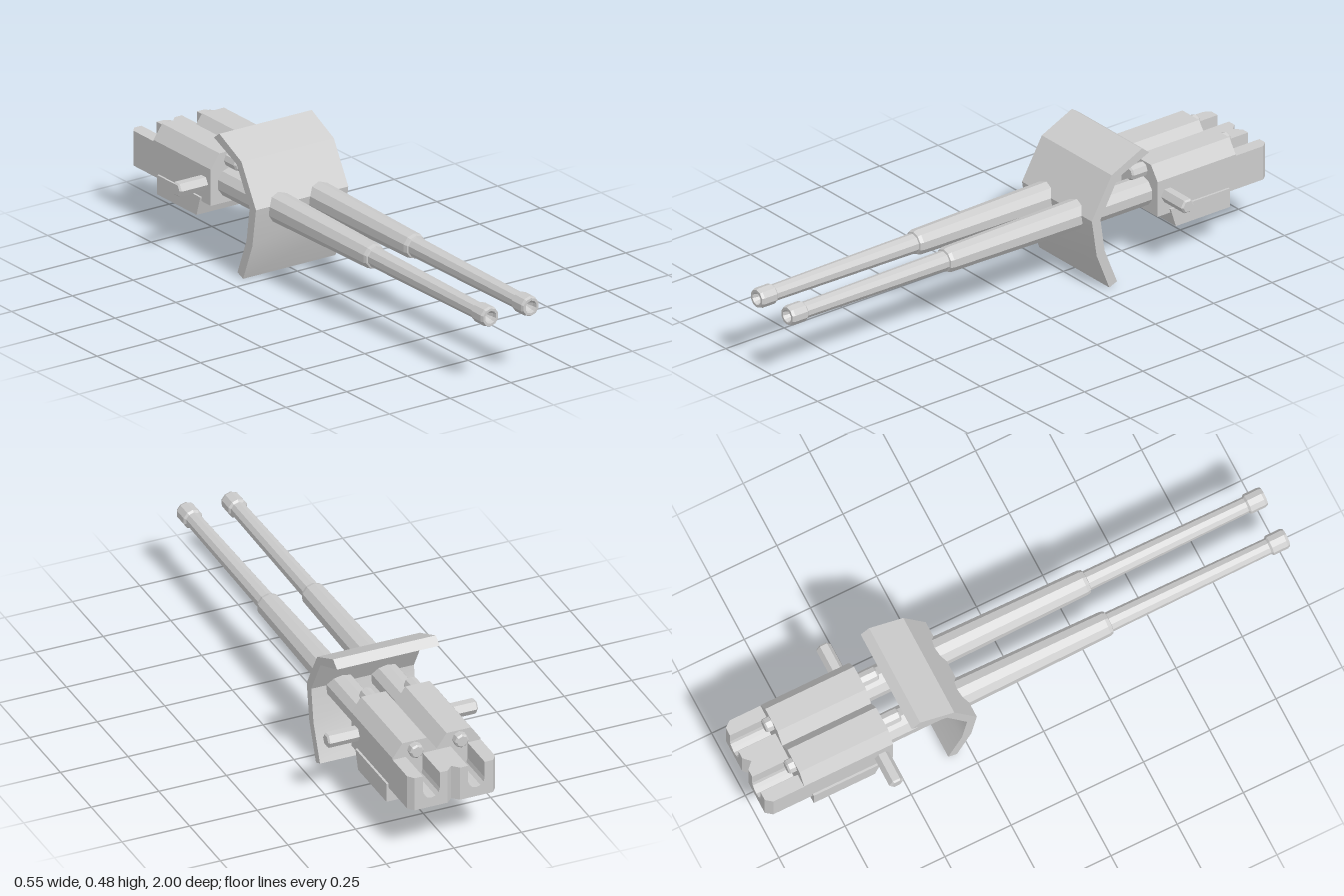
import * as THREE from 'three';
import { toCreasedNormals } from 'three/addons/utils/BufferGeometryUtils.js';

const flat = new THREE.MeshStandardMaterial({ color: 0xcccccc, flatShading: true });
const smooth = new THREE.MeshStandardMaterial({ color: 0xcccccc });

const toShape = (pts) => new THREE.Shape(pts.map(([a, b]) => new THREE.Vector2(a, b)));

// Extrudes an (x, y) outline from z0 to z1
function extrudeZ(pts, z0, z1, steps = 1) {
  const g = new THREE.ExtrudeGeometry(toShape(pts), { depth: z1 - z0, bevelEnabled: false, steps });
  return g.translate(0, 0, z0);
}

// Extrudes a (z, y) side profile across x, centred on x = 0
function extrudeX(pts, width) {
  const g = new THREE.ExtrudeGeometry(toShape(pts), { depth: width, bevelEnabled: false });
  return g.rotateY(-Math.PI / 2).translate(width / 2, 0, 0);
}

// Turned part along z from [radius, z] pairs
function turned(pts, sides) {
  const g = new THREE.LatheGeometry(pts.map(([r, z]) => new THREE.Vector2(r, z)), sides);
  return g.rotateX(Math.PI / 2);
}

export function createModel() {
  const group = new THREE.Group();
  const add = (name, geometry, material = flat) => {
    const mesh = new THREE.Mesh(geometry, material);
    mesh.name = name;
    group.add(mesh);
    return mesh;
  };

  // Curved shield, front edge downwards then back edge upwards
  const shield = extrudeX([
    [-0.436, 0.48], [-0.307, 0.42], [-0.222, 0.272], [-0.243, 0.135], [-0.297, 0],
    [-0.33, 0.013], [-0.277, 0.145], [-0.259, 0.268], [-0.334, 0.402], [-0.468, 0.457],
  ], 0.38);
  add('shield', toCreasedNormals(shield, 0.4), smooth);

  // Cradle under both receivers, with a slanted front
  add('cradle', extrudeX([
    [-0.575, 0.2], [-0.597, 0.13], [-0.828, 0.13], [-0.828, 0.2],
  ], 0.342));

  for (const s of [1, -1]) {
    const side = s > 0 ? 'left' : 'right';
    const cx = 0.083 * s;

    // Barrel: sleeve, tapered tube, muzzle collar and hollow bore
    const barrel = add(side + 'Barrel', turned([
      [0, -0.56], [0.0535, -0.56], [0.0535, -0.25], [0.045, 0.315], [0.041, 0.328], [0.035, 0.33],
      [0.029, 0.93], [0.036, 0.937], [0.036, 0.99], [0.032, 1], [0.023, 1], [0.02, 0.985], [0, 0.94],
    ], 10));
    barrel.position.set(cx, 0.255, 0);

    // Receiver with bevelled top edges
    add(side + 'Receiver', extrudeZ([
      [0, 0.184], [0.163, 0.184], [0.163, 0.315], [0.127, 0.366], [0.037, 0.366], [0, 0.315],
    ].map(([x, y]) => [x * s, y]), -0.86, -0.525));

    // Rear block with a round-bottomed loading slot
    const outline = [[0, 0.184], [0.163, 0.184], [0.163, 0.31], [0.114, 0.31]];
    for (let i = 0; i <= 6; i++) {
      const a = (i / 6) * Math.PI;
      outline.push([0.083 + 0.031 * Math.cos(a), 0.25 - 0.031 * Math.sin(a)]);
    }
    outline.push([0.052, 0.31], [0, 0.31]);
    const breech = extrudeZ(outline.map(([x, y]) => [x * s, y]), -1, -0.86, 2);
    const p = breech.attributes.position;
    for (let i = 0; i < p.count; i++) {
      const ax = Math.abs(p.getX(i));
      if (p.getZ(i) < -0.99) {
        // Chamfer the rear corners
        if (ax < 0.01) p.setX(i, 0.023 * s);
        if (ax > 0.15) p.setX(i, 0.145 * s);
      } else if (p.getZ(i) < -0.9) {
        p.setZ(i, -0.977);
      }
    }
    breech.computeVertexNormals();
    add(side + 'Breech', breech);

    // Recoil cylinder through the top of the receiver
    const recoil = add(side + 'RecoilCylinder', turned([
      [0, -0.888], [0.02, -0.888], [0.026, -0.882], [0.026, -0.468], [0.02, -0.462], [0, -0.462],
    ], 8));
    recoil.position.set(cx, 0.336, 0);

    // Side pivot pin
    const pin = add(side + 'PivotPin', turned([
      [0, 0.1], [0.027, 0.1], [0.027, 0.271], [0.021, 0.277], [0, 0.277],
    ], 6).rotateZ(Math.PI / 2).rotateY((s * Math.PI) / 2));
    pin.position.set(0, 0.255, -0.567);
  }
  return group;
}
